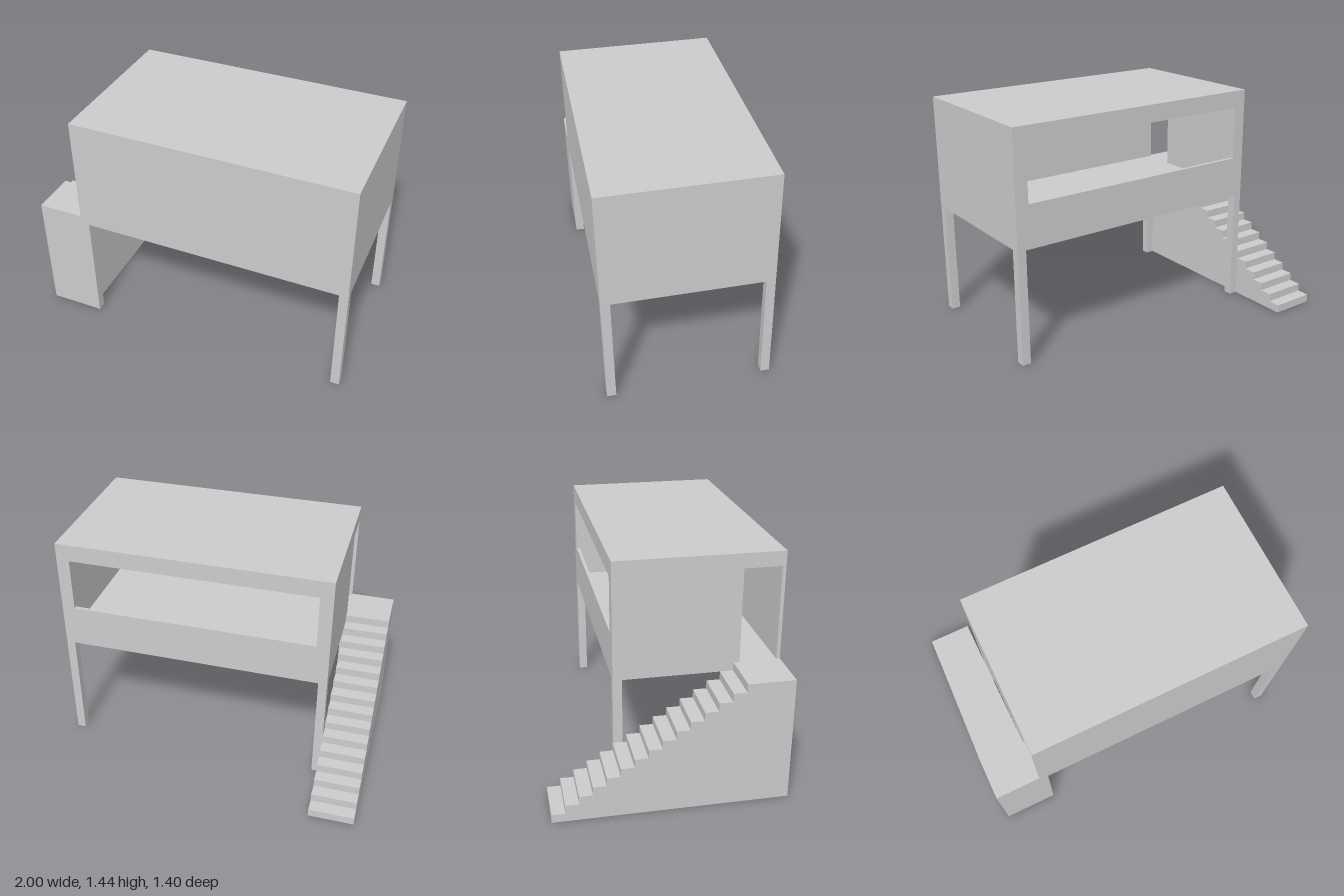
import * as THREE from 'three';

const X0 = -0.715, X1 = 1, Z0 = -0.298, Z1 = 0.702; // room footprint
const Y0 = 0.72, Y1 = 1.44;                         // room underside and roof top
const WALL = 0.022, LEG = 0.055;
const STEPS = 15, RISE = 0.0515, RUN = 0.08;

export function createModel() {
  const model = new THREE.Group();
  const material = new THREE.MeshStandardMaterial({ color: 0xcccccc, flatShading: true });

  const add = (name, geometry) => {
    const mesh = new THREE.Mesh(geometry, material);
    mesh.name = name;
    model.add(mesh);
    return mesh;
  };
  // Box given by its two extreme corners
  const block = (name, x0, y0, z0, x1, y1, z1) => add(name,
    new THREE.BoxGeometry(x1 - x0, y1 - y0, z1 - z0)
      .translate((x0 + x1) / 2, (y0 + y1) / 2, (z0 + z1) / 2));
  const polygon = (points) => points.map(([x, y]) => new THREE.Vector2(x, y));
  const rect = (a0, b0, a1, b1) => polygon([[a0, b0], [a1, b0], [a1, b1], [a0, b1]]);
  const extrude = (shape, depth) =>
    new THREE.ExtrudeGeometry(shape, { depth, bevelEnabled: false });

  // Room: floor, roof and the two closed walls
  const floorTop = STEPS * RISE;
  const roofBottom = Y1 - WALL;
  block('floor', X0, Y0, Z0, X1, floorTop, Z1);
  block('roof', X0, roofBottom, Z0, X1, Y1, Z1);
  block('frontWall', X0, floorTop, Z1 - WALL, X1, roofBottom, Z1);
  block('leftWall', X1 - WALL, floorTop, Z0 + WALL, X1, roofBottom, Z1 - WALL);

  // Back wall with a long window opening
  const back = new THREE.Shape(rect(X0, floorTop, X1, roofBottom));
  back.holes.push(new THREE.Path(rect(X0 + 0.082, 0.99, X1 - 0.082, 1.33)));
  add('backWall', extrude(back, WALL).translate(0, 0, Z0));

  // Right wall with a doorway next to the front wall, drawn in (z, y)
  const doorZ0 = 0.455, doorZ1 = Z1 - WALL, doorTop = 1.35;
  const side = new THREE.Shape(polygon([
    [Z0 + WALL, floorTop], [doorZ0, floorTop], [doorZ0, doorTop],
    [doorZ1, doorTop], [doorZ1, roofBottom], [Z0 + WALL, roofBottom],
  ]));
  add('rightWall', extrude(side, WALL).rotateY(-Math.PI / 2).translate(X0 + WALL, 0, 0));

  // Four corner legs
  for (const x of [X0, X1 - LEG]) {
    for (const z of [Z0, Z1 - LEG]) block('leg', x, 0, z, x + LEG, Y0, z + LEG);
  }

  // Solid staircase with landing, a stepped profile in (z, y)
  const profile = [[-Z1, 0]];
  for (let i = 0; i < STEPS; i++) {
    const z = -Z1 + i * RUN;
    profile.push([z, (i + 1) * RISE], [i < STEPS - 1 ? z + RUN : Z1, (i + 1) * RISE]);
  }
  profile.push([Z1, 0]);
  const stairs = new THREE.Shape(polygon(profile));
  add('staircase', extrude(stairs, X0 + 1).rotateY(-Math.PI / 2).translate(X0, 0, 0));

  return model;
}
